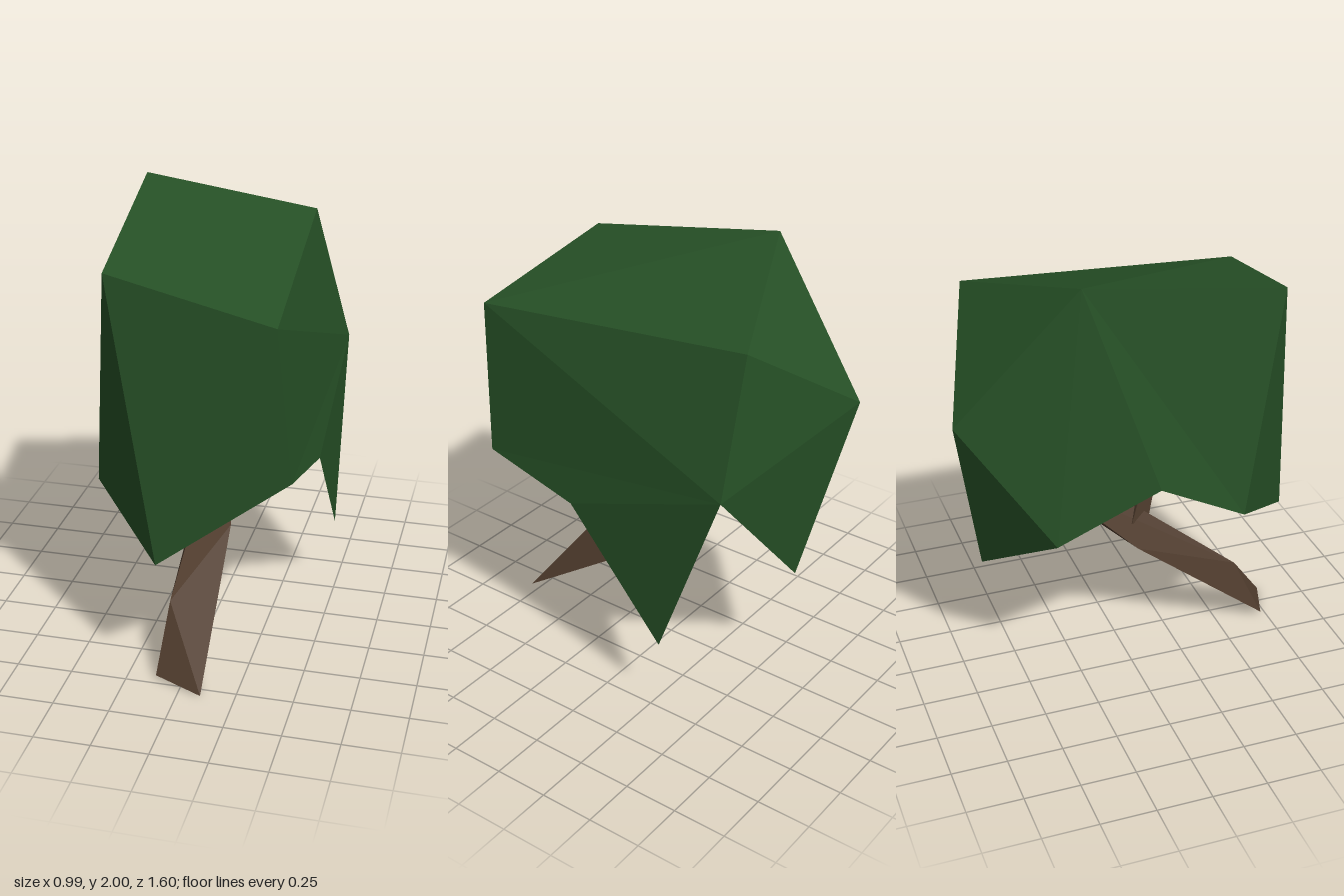
import * as THREE from 'three';

// Flat-shaded mesh from named points and triangles written as letter triples
function facets(name, points, faces, material) {
  const pos = [];
  for (const face of faces.split(' ')) for (const key of face) pos.push(...points[key]);
  const geometry = new THREE.BufferGeometry();
  geometry.setAttribute('position', new THREE.Float32BufferAttribute(pos, 3));
  geometry.computeVertexNormals();
  const mesh = new THREE.Mesh(geometry, material);
  mesh.name = name;
  return mesh;
}

// Three-sided limb between two rings (top, left, right), closed at the far end
function limb(name, from, to, material) {
  const [a, b, c] = from, [d, e, f] = to;
  return facets(name, { a, b, c, d, e, f }, 'ade aeb bef bfc cfd cda dfe', material);
}

export function createModel() {
  const make = (name, color) => {
    const m = new THREE.MeshStandardMaterial({ color, flatShading: true, side: THREE.DoubleSide });
    m.name = name;
    return m;
  };
  const leaf = make('leafGreen', 0x265026);
  const bark = make('barkBrown', 0x523e2f);
  const tree = new THREE.Group();
  tree.name = 'leaningTree';

  // Canopy: faceted shell, open underneath, with a ragged rim
  const crown = {
    A: [-0.41, 2.0, -0.28], B: [-0.33, 1.84, 0.66], C: [0.4, 1.69, 0.72], D: [0.31, 1.79, -0.6],
    E: [-0.27, 1.39, -0.8], F: [0.48, 1.18, -0.6], G: [-0.5, 1.06, 0.04], H: [-0.44, 0.82, 0.46],
    I: [-0.09, 0.62, 0.8], J: [0.46, 1.0, 0.67], K: [0.49, 0.9, 0.19], L: [0.49, 0.34, -0.29],
    M: [-0.05, 0.57, -0.65], N: [-0.44, 0.83, -0.41],
  };
  const top = 'ABC ACD ADE';
  const front = 'BHI BIC CIJ';
  const right = 'CFD CJF JKF KLF';
  const back = 'DFE FME EMN';
  const left = 'AEN ANG AGH AHB';
  tree.add(facets('canopy', crown, [top, front, right, back, left].join(' '), leaf));

  // Lower trunk: wedge rising from a two-point foot to a triangular bend
  const a = [0.1, 0, 0.8], b = [-0.12, 0.02, 0.72];
  const bend = [[-0.09, 0.32, 0.58], [-0.11, 0.52, 0.08], [0.07, 0.47, 0.1]];
  const [p, q, r] = bend;
  tree.add(facets('lowerTrunk', { a, b, p, q, r }, 'bap arp bpq abq aqr', bark));

  // Upper trunk and side branch, reaching into the canopy
  tree.add(limb('upperTrunk', bend,
    [[-0.01, 1.05, -0.33], [-0.05, 0.95, -0.36], [0, 0.9, -0.36]], bark));
  tree.add(limb('sideBranch',
    [[-0.04, 0.6, 0.15], [-0.08, 0.64, 0.06], [0.01, 0.64, 0.06]],
    [[-0.01, 1.1, 0.25], [-0.02, 1.1, 0.22], [0, 1.1, 0.21]], bark));

  return tree;
}
